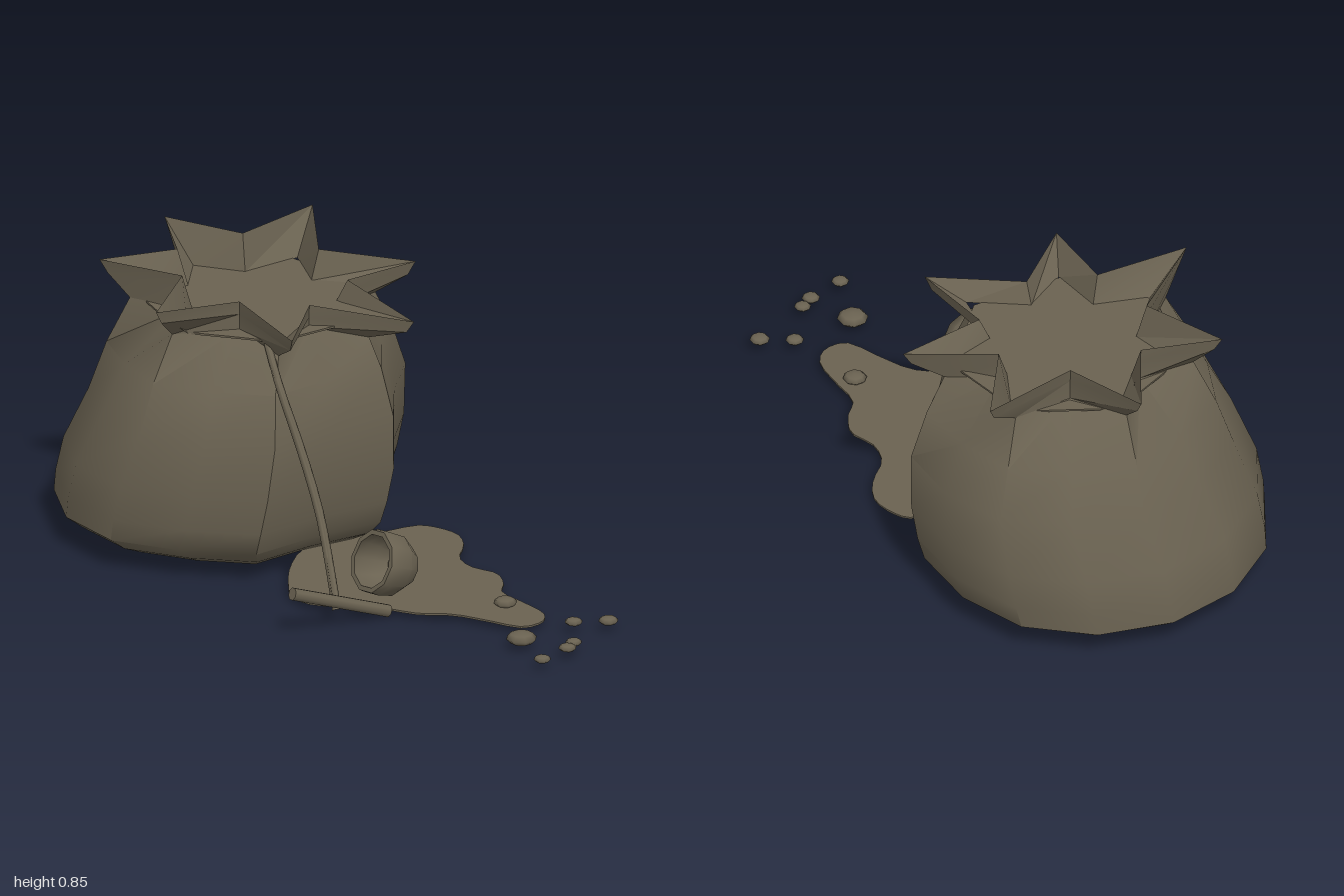
import * as THREE from 'three';
import { toCreasedNormals } from 'three/addons/utils/BufferGeometryUtils.js';

const N = 14;          // columns round the sack: even = points, odd = folds
const CZ = -0.118;     // centre line of the sack in z

// Star mouth from the +x point, front half first: [x, z offset]
const STAR = [[0.165, 0], [-0.13, 0.12], [-0.045, 0.385], [-0.30, 0.25], [-0.45, 0.5],
  [-0.53, 0.19], [-0.815, 0.19], [-0.65, 0], [-0.815, -0.22], [-0.54, -0.21],
  [-0.47, -0.522], [-0.30, -0.25], [-0.04, -0.385], [-0.13, -0.12]];

// Column scales: the sack has two flat panels on +x and one at the front
const PANELS = [1, 0.87, 1, 0.95, 1, 1, 1, 1, 1, 1, 1, 0.975, 1, 0.87];
const foldPanels = (s) => PANELS.map((p, k) => (k % 2 ? Math.min(p, s) : 1));

// The mouth is level at the back and dips towards +x
const dip = (x) => Math.max(0, x + 0.45);
const rimHeight = (x) => 0.855 - 0.14 * dip(x);

function starRing(pointScale, foldScale, height) {
  return STAR.map(([x, z], k) => {
    const s = k % 2 ? foldScale : pointScale;
    const px = -0.36 + (x + 0.36) * s;
    return [px, height(px), CZ + z * s];
  });
}

function ovalRing(y, cx, rx, rz, scales = PANELS, tilt = 0) {
  return scales.map((s, k) => {
    const a = (k / N) * Math.PI * 2;
    const x = cx + rx * s * Math.cos(a);
    return [x, y - tilt * dip(x), CZ + rz * s * Math.sin(a)];
  });
}

// Skin a list of rings, lowest first
function loft(rings, crease) {
  const index = [];
  for (let i = 0; i < rings.length - 1; i++) {
    for (let k = 0; k < N; k++) {
      const a = i * N + k, b = i * N + ((k + 1) % N);
      index.push(a, a + N, b, b, a + N, b + N);
    }
  }
  const g = new THREE.BufferGeometry();
  g.setAttribute('position', new THREE.Float32BufferAttribute(rings.flat(2), 3));
  g.setIndex(index);
  return toCreasedNormals(g, crease);
}

export function createModel() {
  const group = new THREE.Group();
  const cloth = new THREE.MeshStandardMaterial({ color: 0x6a6251 });
  cloth.name = 'drab brown';

  const add = (name, geometry, parent = group) => {
    const mesh = new THREE.Mesh(geometry, cloth);
    mesh.name = name;
    parent.add(mesh);
    return mesh;
  };

  // Neck: round at the points, drawn in to the mouth at the folds
  const round = ovalRing(0.742, -0.375, 0.385, 0.39, PANELS, 0.11);
  const pinched = starRing(1, 0.99, (x) => 0.748 - 0.03 * dip(x));
  const neck = round.map((p, k) => (k % 2 ? pinched[k] : p));

  // Bulging sack
  add('sack', loft([
    ovalRing(0.025, -0.46, 0, 0),
    ovalRing(0.025, -0.46, 0.41, 0.41),
    ovalRing(0.058, -0.467, 0.48, 0.485),
    ovalRing(0.10, -0.475, 0.525, 0.54),
    ovalRing(0.17, -0.46, 0.532, 0.55),
    ovalRing(0.28, -0.435, 0.53, 0.55),
    ovalRing(0.45, -0.393, 0.487, 0.525, foldPanels(0.98)),
    ovalRing(0.60, -0.388, 0.44, 0.465, foldPanels(0.94)),
    neck,
  ], 0.78));

  // Flared star-shaped mouth: underside, outer band, inner slope
  add('sackMouth', loft([
    neck,
    starRing(0.95, 0.99, (x) => rimHeight(x) - 0.042),
    starRing(1, 1, rimHeight),
    starRing(0.7, 0.87, () => 0.742),
  ], 0.4));

  // Level fill inside the mouth, just showing between the neck folds
  const fill = STAR.map((_, k) => (k % 2 ? 0.9 : 1));
  add('contents', loft([
    ovalRing(0.738, -0.37, 0, 0),
    ovalRing(0.738, -0.37, 0.35, 0.36, fill),
    ovalRing(0.744, -0.37, 0.35, 0.36, fill),
    ovalRing(0.744, -0.37, 0, 0),
  ], 0.4));

  // Spilt patch on the ground
  const outline = [[0.07, -0.32], [0.13, -0.33], [0.21, -0.31], [0.27, -0.24], [0.31, -0.14],
    [0.38, -0.09], [0.47, -0.08], [0.53, -0.015], [0.56, 0.05], [0.67, 0.1], [0.76, 0.15],
    [0.785, 0.21], [0.755, 0.275], [0.64, 0.28], [0.52, 0.285], [0.42, 0.33], [0.30, 0.34],
    [0.17, 0.39], [0.09, 0.41], [0.01, 0.375], [-0.04, 0.30], [-0.10, 0.18], [-0.14, 0.02],
    [-0.10, -0.12], [0, -0.22]];
  const edge = new THREE.CatmullRomCurve3(outline.map(([x, z]) => new THREE.Vector3(x, -z, 0)), true);
  const patch = new THREE.Shape(edge.getPoints(60).slice(0, -1).map((p) => new THREE.Vector2(p.x, p.y)));
  const patchGeo = new THREE.ExtrudeGeometry(patch, { depth: 0.006, bevelEnabled: false });
  patchGeo.rotateX(-Math.PI / 2);
  add('spill', patchGeo).position.y = 0.019;

  // Scattered grains: [x, z, radius]
  const grains = new THREE.Group();
  grains.name = 'grains';
  group.add(grains);
  for (const [x, z, r] of [[0.62, 0.14, 0.037], [0.88, 0.185, 0.028], [0.967, 0.125, 0.031],
    [0.807, 0.38, 0.048], [0.962, 0.335, 0.026], [0.968, 0.385, 0.028], [0.947, 0.505, 0.027]]) {
    const grain = add('grain', new THREE.SphereGeometry(r, 8, 4), grains);
    grain.scale.y = 0.42;
    grain.position.set(x, 0.034, z);
  }

  // Scoop cup lying on its side, mouth towards the front
  const profile = [[0, -0.072], [0.062, -0.072], [0.096, -0.02], [0.102, 0.035], [0.098, 0.062],
    [0.083, 0.062], [0.082, 0.03], [0.074, -0.01], [0.052, -0.045], [0, -0.045]];
  const cupGeo = new THREE.LatheGeometry(profile.map(([r, y]) => new THREE.Vector2(r, y)), 10);
  const cup = add('cup', toCreasedNormals(cupGeo, 0.7));
  const up = new THREE.Vector3(0, 1, 0);
  cup.quaternion.setFromUnitVectors(up, new THREE.Vector3(-0.4, 0.35, 0.85).normalize());
  cup.position.set(0.32, 0.168, 0.335);

  // Wooden toggle at the end of the cord
  const from = new THREE.Vector3(0.328, 0.02, 0.343);
  const to = new THREE.Vector3(0.157, 0.142, 0.635);
  const along = to.clone().sub(from);
  const rod = add('toggle', new THREE.CylinderGeometry(0.02, 0.02, along.length(), 8));
  rod.quaternion.setFromUnitVectors(up, along.clone().normalize());
  rod.position.copy(from).add(to).multiplyScalar(0.5);

  // Two strands of draw cord running from the neck to the toggle
  const cord = [[-0.19, 0.735, 0.16], [-0.09, 0.63, 0.26], [0, 0.47, 0.30],
    [0.09, 0.29, 0.345], [0.15, 0.16, 0.395], [0.22, 0.045, 0.475]];
  for (const side of [0, 1]) {
    const path = new THREE.CatmullRomCurve3(cord.map(([x, y, z], i) => {
      const off = side * 0.006 * i;
      return new THREE.Vector3(x - off * 0.3, y + off, z - off * 0.5);
    }));
    add('cord', new THREE.TubeGeometry(path, 12, 0.012, 5));
  }

  return group;
}
